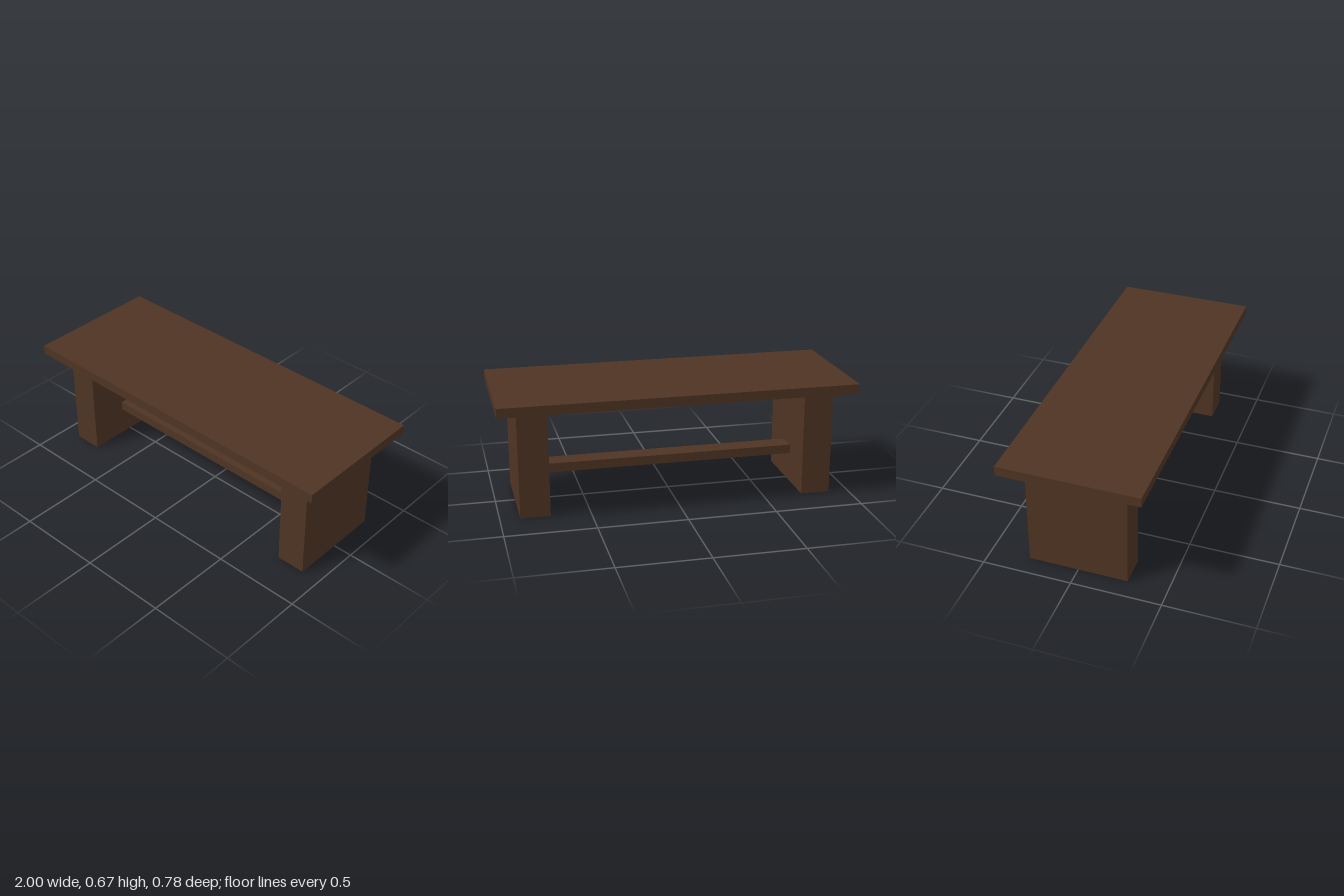
import * as THREE from 'three';

export function createModel() {
  const model = new THREE.Group();
  model.name = 'table';

  const wood = new THREE.MeshStandardMaterial({ color: 0x4f3423, side: THREE.DoubleSide });
  wood.name = 'dark brown wood';

  const addPart = (name, geometry, x, y) => {
    const mesh = new THREE.Mesh(geometry, wood);
    mesh.name = name;
    mesh.position.set(x, y, 0);
    model.add(mesh);
  };

  // Four upright walls, open at the top and bottom
  const openBox = (w, h, d) => {
    const box = new THREE.BoxGeometry(w, h, d);
    const index = Array.from(box.index.array);
    index.splice(12, 12); // drop the top and bottom faces
    box.setIndex(index);
    box.clearGroups();
    return box;
  };

  // Table top
  addPart('tableTop', new THREE.BoxGeometry(2, 0.054, 0.778), 0, 0.64);

  // Hollow slab legs
  for (const side of [1, -1]) {
    addPart(side > 0 ? 'leftLeg' : 'rightLeg', openBox(0.167, 0.613, 0.556), side * 0.8055, 0.3065);
  }

  // Stretcher between the legs
  addPart('stretcher', new THREE.BoxGeometry(1.444, 0.052, 0.116), 0, 0.196);

  return model;
}
